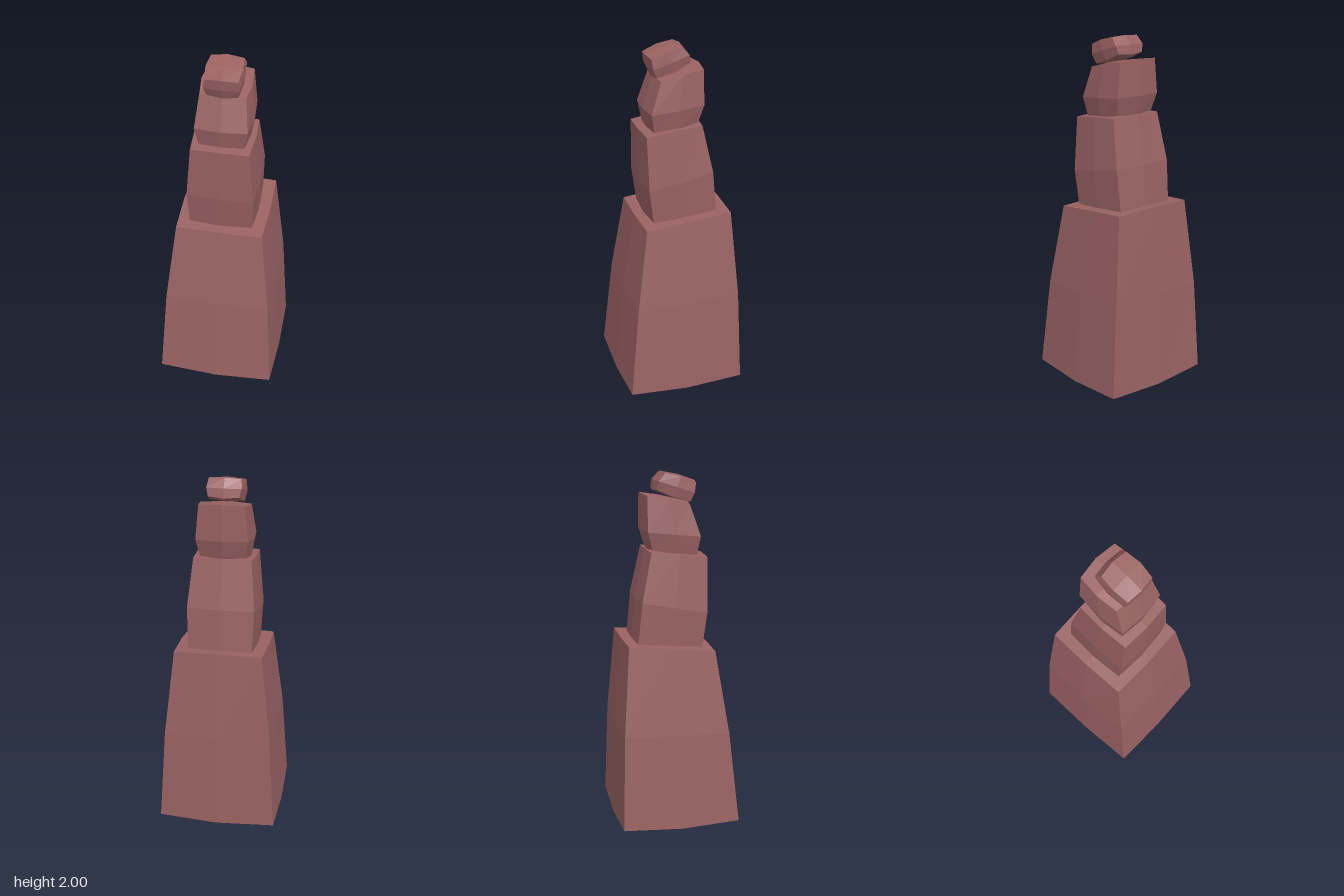
import * as THREE from 'three';

// Each block: three sections (bottom, middle, top) of corner values
// [half width, front y, front z, back y, back z], plus side and cap bulge.
const BLOCKS = [
  { name: 'basePlinth', side: 0.008, cap: [-0.03, 0.01], sections: [
    [0.334, 0.03, 0.334, 0.03, -0.334],
    [0.3, 0.55, 0.28, 0.57, -0.318],
    [0.245, 1.02, 0.208, 1.07, -0.28]] },
  { name: 'lowerBlock', side: 0.01, cap: [-0.01, 0.012], sections: [
    [0.178, 1.035, 0.15, 1.065, -0.216],
    [0.187, 1.23, 0.175, 1.3, -0.192],
    [0.16, 1.535, 0.18, 1.57, -0.135]] },
  { name: 'upperBlock', side: 0.014, cap: [-0.015, 0.012], sections: [
    [0.125, 1.545, 0.128, 1.58, -0.122],
    [0.144, 1.65, 0.146, 1.68, -0.15],
    [0.125, 1.825, 0.088, 1.875, -0.15]] },
  { name: 'topStone', side: 0.01, cap: [-0.015, 0.015], sections: [
    [0.085, 1.835, 0.1, 1.905, -0.09],
    [0.096, 1.885, 0.122, 1.95, -0.08],
    [0.089, 1.94, 0.13, 1.992, -0.042]] },
];

// Bends a subdivided box onto the three sections and puffs out its faces.
function warpedBlock({ sections, side, cap }) {
  const geometry = new THREE.BoxGeometry(2, 2, 2, 2, 2, 2).toNonIndexed();
  const p = geometry.attributes.position;
  for (let i = 0; i < p.count; i++) {
    const x = Math.round(p.getX(i));
    const level = Math.round(p.getY(i));
    const z = Math.round(p.getZ(i));
    const [w, yF, zF, yB, zB] = sections[level + 1];
    const t = (z + 1) / 2;
    const capBulge = level === 0 ? 0 : cap[level < 0 ? 0 : 1];
    const centred = ((x === 0 ? 1 : 0) + (z === 0 ? 1 : 0)) / 2;
    p.setXYZ(i,
      x * (w + (z === 0 ? side : 0)),
      yB + (yF - yB) * t + capBulge * centred,
      zB + (zF - zB) * t + (x === 0 ? z * side : 0));
  }
  geometry.computeVertexNormals();
  return geometry;
}

export function createModel() {
  const group = new THREE.Group();
  group.name = 'stackedStonePillar';
  const stone = new THREE.MeshStandardMaterial({ color: 0x9a6262, flatShading: true });
  stone.name = 'dusty red stone';
  for (const block of BLOCKS) {
    const mesh = new THREE.Mesh(warpedBlock(block), stone);
    mesh.name = block.name;
    group.add(mesh);
  }
  return group;
}
